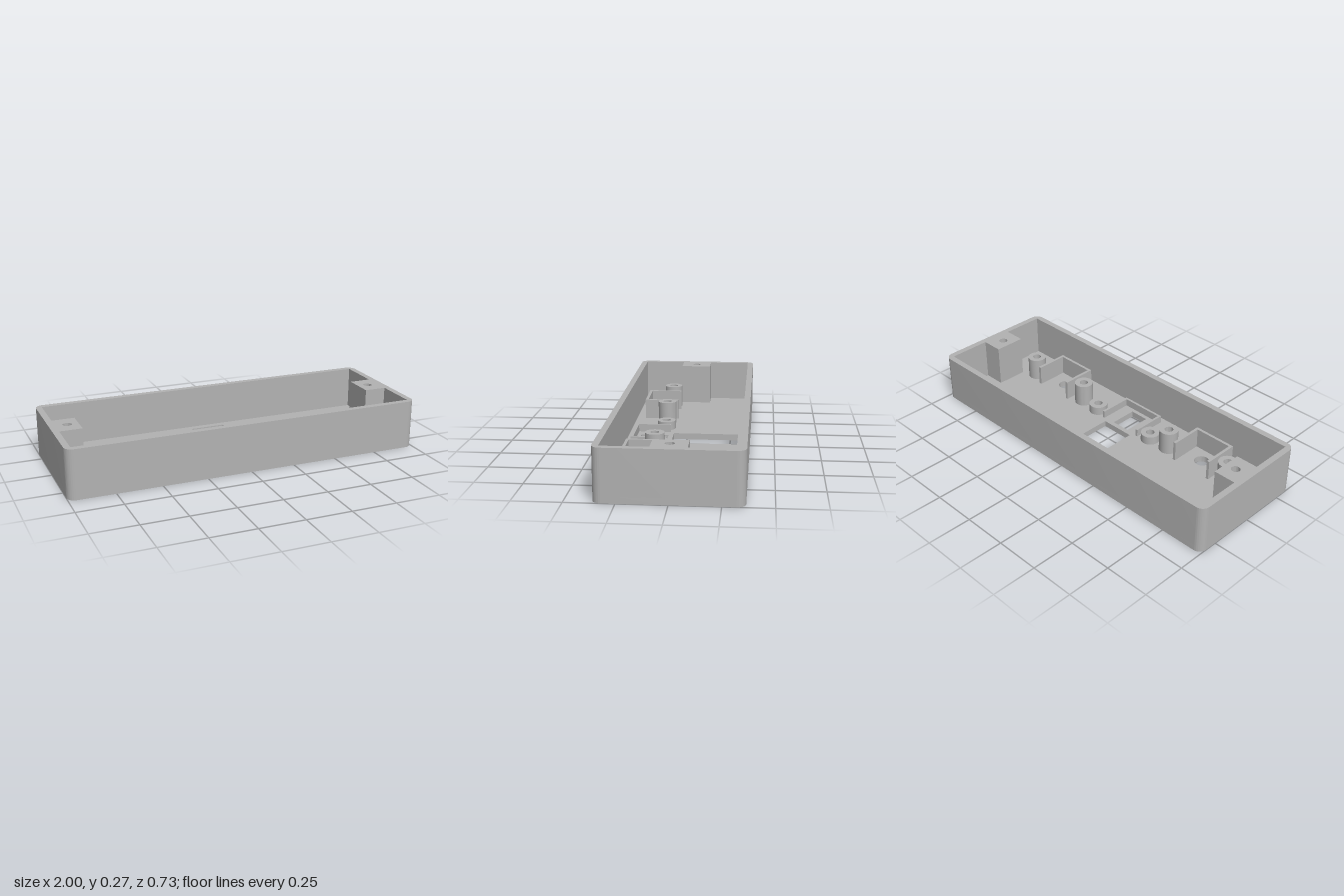
import * as THREE from 'three';
import { toCreasedNormals } from 'three/addons/utils/BufferGeometryUtils.js';

const FLOOR = 0.035, HEIGHT = 0.273, HALF_X = 1, HALF_Z = 0.363, CORNER = 0.045;

// Plan shapes are drawn in x and z; extrusion then runs upwards.
function polygon(points, Type = THREE.Shape) {
  return new Type(points.map(([x, z]) => new THREE.Vector2(x, -z)));
}
function circle(x, z, r, Type = THREE.Path) {
  const c = new Type();
  c.absarc(x, -z, r, 0, Math.PI * 2);
  return c;
}
function rectHole(x0, x1, z0, z1) {
  return polygon([[x0, z0], [x1, z0], [x1, z1], [x0, z1]], THREE.Path);
}
function outline() {
  const s = new THREE.Shape(), a = HALF_X - CORNER, b = HALF_Z - CORNER;
  s.absarc(a, b, CORNER, 0, Math.PI / 2);
  s.absarc(-a, b, CORNER, Math.PI / 2, Math.PI);
  s.absarc(-a, -b, CORNER, Math.PI, Math.PI * 1.5);
  s.absarc(a, -b, CORNER, Math.PI * 1.5, Math.PI * 2);
  s.closePath();
  return s;
}

export function createModel() {
  const group = new THREE.Group();
  group.name = 'enclosureTray';
  const grey = new THREE.MeshStandardMaterial({ color: 0xb2b2b2 });
  grey.name = 'grey plastic';

  function slab(name, shape, y0, y1) {
    let geo = new THREE.ExtrudeGeometry(shape, { depth: y1 - y0, bevelEnabled: false, curveSegments: 16 });
    geo.rotateX(-Math.PI / 2);
    geo.translate(0, y0, 0);
    geo = toCreasedNormals(geo, 0.6);
    const mesh = new THREE.Mesh(geo, grey);
    mesh.name = name;
    group.add(mesh);
  }

  // Floor with display window, switch slot and two button holes
  const floor = outline();
  floor.holes.push(
    rectHole(-0.1, 0.097, -0.294, 0.075),
    rectHole(-0.056, 0.054, 0.102, 0.257),
    circle(-0.545, 0.18, 0.042),
    circle(0.545, 0.18, 0.042)
  );
  slab('floor', floor, 0, FLOOR);

  // Walls, with a screw block standing in from each end
  const walls = outline();
  const ix = 0.966, iz = 0.329, bx = 0.842, bz = 0.089;
  walls.holes.push(polygon([
    [-ix, -iz], [ix, -iz], [ix, -bz], [bx, -bz], [bx, bz], [ix, bz],
    [ix, iz], [-ix, iz], [-ix, bz], [-bx, bz], [-bx, -bz], [-ix, -bz]
  ], THREE.Path));
  for (const s of [-1, 1]) walls.holes.push(circle(s * 0.903, 0, 0.024));
  slab('wallsWithScrewBlocks', walls, FLOOR, HEIGHT);

  // Hollow round standoffs
  function standoff(name, x, z, top) {
    const ring = circle(x, z, 0.053, THREE.Shape);
    ring.holes.push(circle(x, z, 0.024));
    slab(name, ring, FLOOR, top);
  }

  // U-shaped pocket walls, open towards the back
  function pocket(name, x, halfWidth, z0, z1, t, top) {
    const l = x - halfWidth, r = x + halfWidth;
    slab(name, polygon([
      [l, z0], [l, z1], [r, z1], [r, z0],
      [r - t, z0], [r - t, z1 - t], [l + t, z1 - t], [l + t, z0]
    ]), FLOOR, top);
  }

  for (const s of [-1, 1]) {
    standoff('tallStandoffOuter', s * 0.754, 0.136, 0.165);
    standoff('tallStandoffInner', s * 0.338, 0.136, 0.165);
    standoff('shortStandoff', s * 0.208, 0.128, 0.084);
    pocket('buttonPocket', s * 0.548, 0.126, 0.08, 0.278, 0.016, 0.15);
  }
  pocket('switchPocket', 0, 0.138, 0.096, 0.294, 0.014, 0.078);

  return group;
}
